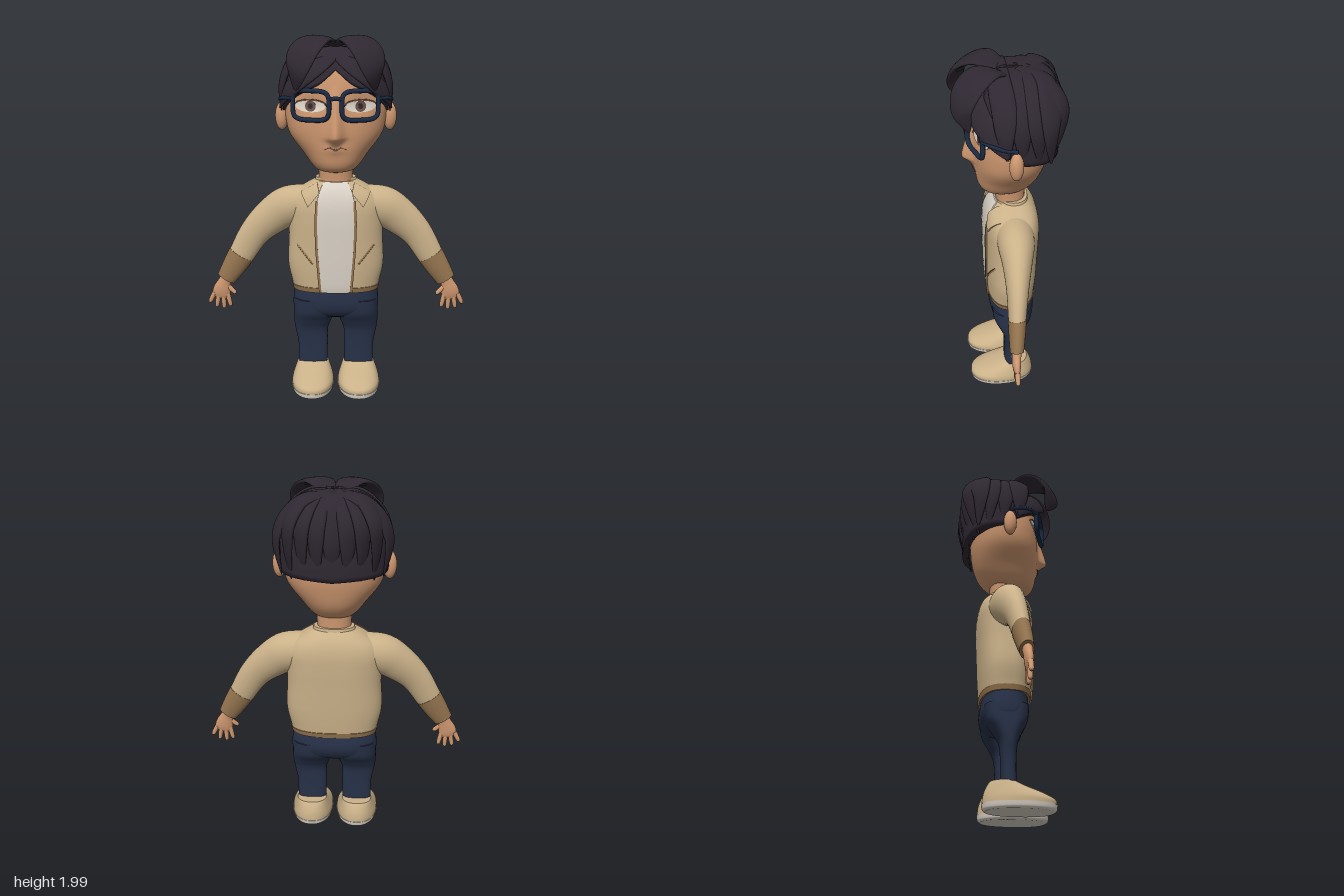
import * as THREE from 'three';

const mat = (name, color) => Object.assign(new THREE.MeshStandardMaterial({ color }), { name });
const M = {
  skin: mat('skin', 0xcf9870), hair: mat('dark hair', 0x2f2832), jacket: mat('tan', 0xcab189),
  trim: mat('brown trim', 0x94744f), shirt: mat('off white', 0xd9d1c6), pants: mat('navy cloth', 0x273148),
  frame: mat('blue frame', 0x1b2a44), eye: mat('eye white', 0xe2d8ca), iris: mat('iris brown', 0x6b5146),
};

const V = (x, y, z) => new THREE.Vector3(x, y, z);
const spow = (v, e) => Math.sign(v) * Math.abs(v) ** e;

// Catmull-Rom smoothing of rows of numbers
function smooth(rows, n = 8) {
  const out = [], at = i => rows[Math.max(0, Math.min(rows.length - 1, i))];
  for (let i = 0; i < rows.length - 1; i++) for (let k = 0; k < n; k++) {
    const t = k / n;
    out.push(rows[i].map((_, c) => {
      const a = at(i - 1)[c], b = at(i)[c], d = at(i + 1)[c], e = at(i + 2)[c];
      return b + 0.5 * t * (d - a + t * (2 * a - 5 * b + 4 * d - e + t * (3 * (b - d) + e - a)));
    }));
  }
  out.push(rows[rows.length - 1]);
  return out;
}

// Linear lookup in rows sorted by their first number
function lookup(rows, key) {
  if (key <= rows[0][0]) return rows[0];
  for (let i = 1; i < rows.length; i++) if (key <= rows[i][0]) {
    const a = rows[i - 1], b = rows[i], t = (key - a[0]) / (b[0] - a[0] || 1);
    return a.map((v, c) => v + (b[c] - v) * t);
  }
  return rows[rows.length - 1];
}

// Surface through closed rings, optionally with flat ends
function skinRings(rings, capped = true) {
  if (capped) {
    const end = r => {
      const c = r.reduce((s, p) => s.add(p), V(0, 0, 0)).divideScalar(r.length);
      return r.map(() => c);
    };
    const a = rings[0], b = rings[rings.length - 1];
    rings = [end(a), a, ...rings, b, end(b)];
  }
  const n = rings[0].length, index = [];
  for (let i = 0; i < rings.length - 1; i++) for (let j = 0; j < n; j++) {
    const a = i * n + j, b = i * n + (j + 1) % n;
    index.push(a, a + n, b, b, a + n, b + n);
  }
  const g = new THREE.BufferGeometry().setFromPoints(rings.flat());
  g.setIndex(index);
  g.computeVertexNormals();
  return g;
}

const ring = (n, f) => Array.from({ length: n }, (_, j) => f(Math.cos(j / n * 2 * Math.PI), Math.sin(j / n * 2 * Math.PI)));

// Upright form from rows [y, halfWidth, zFront, zBack, centreX]
function body(rows, p = 2.3, seg = 48, bump = () => 0) {
  return skinRings(smooth(rows).map(([y, w, zf, zb, cx = 0]) => ring(seg, (c, s) => {
    const x = w * spow(c, 2 / p), z = (zf + zb) / 2 + (zf - zb) / 2 * spow(s, 2 / p);
    return V(cx + x, y, z + (s > 0 ? bump(x, y) : 0));
  })));
}

// Front surface height of such a form
function frontZ(rows, p, bump = () => 0) {
  const dense = smooth(rows);
  return (x, y) => {
    const [, w, zf, zb] = lookup(dense, y);
    return (zf + zb) / 2 + (zf - zb) / 2 * Math.max(0, 1 - Math.abs(x / w) ** p) ** (1 / p) + bump(x, y);
  };
}

// Limb from rows [x, y, z, halfWidth, halfDepth]
function limb(rows, s = 1, seg = 24) {
  const r = smooth(rows.map(q => [q[0] * s, ...q.slice(1)]), 6);
  return skinRings(r.map(([x, y, z, a, b], i) => {
    const q = r[Math.max(0, i - 1)], t = r[Math.min(r.length - 1, i + 1)];
    const d = V(t[0] - q[0], t[1] - q[1], 0).normalize();
    return ring(seg, (c, k) => V(x + d.y * a * c, y - d.x * a * c, z + b * k));
  }));
}

// Thin plate following a front surface; map(u, v) gives x and y
function plate(zAt, map, off, thick, s = 1, nu = 24, nv = 12) {
  const g = new THREE.BoxGeometry(1, 1, 1, nu, nv, 1), p = g.attributes.position;
  for (let i = 0; i < p.count; i++) {
    const [x, y] = map(s * p.getX(i), p.getY(i));
    p.setXYZ(i, s * x, y, zAt(s * x, y) + off + thick * (p.getZ(i) + 0.5));
  }
  g.computeVertexNormals();
  return g;
}
const disc = (cx, cy, a, h) => (u, v) => [cx + 2 * u * a, cy + 2 * v * h * Math.sqrt(Math.max(0, 1 - 4 * u * u))];

// Leaf-shaped lock of hair lying around the head
function lock(points, width, thick, s = 1) {
  const curve = new THREE.CatmullRomCurve3(points.map(q => V(q[0] * s, q[1], q[2]))), n = 28;
  return skinRings(Array.from({ length: n + 1 }, (_, i) => {
    const t = i / n, P = curve.getPoint(t), T = curve.getTangent(t);
    const N = P.clone().sub(V(0, 1.65, -0.03));
    N.addScaledVector(T, -N.dot(T)).normalize();
    const B = T.clone().cross(N), k = Math.sin(Math.PI * (0.12 + 0.87 * t)) ** 0.7;
    return ring(16, (c, q) => P.clone().addScaledVector(B, c * k * width).addScaledVector(N, q * k * thick));
  }));
}

const HEAD = [[1.272, .05, .09, -.04], [1.287, .1, .137, -.08], [1.32, .135, .163, -.125], [1.38, .178, .176, -.165],
  [1.47, .245, .183, -.19], [1.55, .268, .185, -.2], [1.65, .27, .183, -.205], [1.78, .25, .165, -.2],
  [1.88, .19, .12, -.16], [1.94, .09, .05, -.09]];
const NOSE = [[1.425, 0], [1.45, .03], [1.472, .062], [1.5, .058], [1.6, .03], [1.69, .012], [1.74, 0]];
const faceBump = (x, y) => {
  const h = lookup(NOSE, y)[1];
  return (y > 1.425 && y < 1.74 ? h * Math.exp(-((x / (0.02 + 0.3 * h)) ** 2)) : 0)
    - 0.014 * Math.exp(-(((Math.abs(x) - 0.125) / 0.07) ** 2) - ((y - 1.64) / 0.045) ** 2)
    + 0.009 * Math.exp(-((x / 0.05) ** 2) - ((y - 1.412) / 0.025) ** 2);
};
const TORSO = [[.6, .238, .125, -.135], [.64, .247, .13, -.14], [.75, .268, .134, -.148], [.9, .262, .135, -.155],
  [1, .262, .135, -.16], [1.08, .262, .13, -.16], [1.14, .235, .117, -.15], [1.185, .175, .097, -.13], [1.218, .115, .07, -.1]];
const OPENING = [[.6, .085], [.85, .104], [1, .108], [1.12, .102], [1.18, .085], [1.215, .065]];
const HAIRLINE = [[0, 1.82], [.12, 1.75], [.28, 1.69], [.42, 1.61], [.52, 1.56], [1, 1.53]];

// Hair cap with a hairline that drops from brow to nape
function hairCap() {
  const n = 26, [a, b, c, p] = [.285, .335, .22, 2.5], rings = [];
  for (let i = -1; i <= n; i++) rings.push(ring(96, (cx, sz) => {
    const low = lookup(HAIRLINE, Math.acos(Math.max(-1, Math.min(1, sz))) / Math.PI)[1] - 1.62;
    const y = low + (b - low) * Math.sin(Math.max(0, i) / n * Math.PI / 2);
    const r = (Math.max(0, 1 - Math.abs(y / b) ** p) / (Math.abs(cx / a) ** p + Math.abs(sz / c) ** p)) ** (1 / p);
    const k = i < 0 ? 0.82 : 1;
    return V(cx * r * k, 1.62 + y, sz * r * k - 0.03);
  }));
  return skinRings(rings, false);
}

export function createModel() {
  const root = new THREE.Group();
  const add = (name, geo, m) => {
    const mesh = new THREE.Mesh(geo, m);
    mesh.name = name;
    root.add(mesh);
    return mesh;
  };
  const tube = (pts, r, closed = false) => new THREE.TubeGeometry(new THREE.CatmullRomCurve3(pts, closed), closed ? 72 : 20, r, 10, closed);
  const faceZ = frontZ(HEAD, 2.2, faceBump), torsoZ = frontZ(TORSO, 2.6);

  // Head, neck and mouth
  add('head', body(HEAD, 2.2, 144, faceBump), M.skin);
  add('neck', body([[1.15, .095, .07, -.085], [1.23, .092, .07, -.085], [1.33, .1, .08, -.09]]), M.skin);
  add('mouth', plate(faceZ, (u, v) => [u * .12, 1.417 - .006 * Math.cos(u * 12) + v * .011 * (1.1 - 2 * Math.abs(u))], 0, .004), M.iris);

  // Jacket body, shirt front and collar
  add('jacketBody', body(TORSO, 2.6, 64), M.jacket);
  add('jacketHem', body([[.597, .241, .128, -.138], [.626, .248, .133, -.143]], 2.6, 64), M.trim);
  add('shirtFront', plate(torsoZ, (u, v) => {
    const y = .91 + v * .615;
    return [2 * u * lookup(OPENING, y)[1], y];
  }, .002, .007, 1, 12, 40), M.shirt);
  add('collarBand', body([[1.18, .125, .055, -.11], [1.232, .11, .05, -.1]]), M.jacket);

  // Hips
  add('hips', body([[.42, .13, .04, -.05], [.44, .2, .08, -.09], [.475, .238, .108, -.12], [.53, .242, .12, -.137], [.61, .233, .115, -.128]], 2.5, 56), M.pants);

  // Hair cap and the lock at the centre of the nape
  add('hairCap', hairCap(), M.hair);
  add('napeLock', lock([[0, 1.95, -.05], [0, 1.92, -.19], [0, 1.75, -.25], [0, 1.53, -.215]], .055, .018), M.hair);

  for (const s of [1, -1]) {
    const side = s > 0 ? 'left' : 'right', put = (name, geo, m) => add(side + name, geo, m);

    // Eye, lid line and ear
    put('Eye', plate(faceZ, disc(.13, 1.637, .08, .031), 0, .005, s), M.eye);
    put('Iris', plate(faceZ, disc(.13, 1.637, .028, .028), .003, .005, s), M.iris);
    put('Pupil', plate(faceZ, disc(.13, 1.637, .013, .014), .006, .005, s), M.hair);
    put('Lid', plate(faceZ, (u, v) => [.13 + u * .17, 1.637 + .032 * Math.sqrt(1 - 4 * u * u) + v * .008], 0, .008, s), M.iris);
    const ear = put('Ear', new THREE.SphereGeometry(1, 24, 18), M.skin);
    ear.scale.set(.036, .075, .036);
    ear.position.set(s * .291, 1.565, -.005);

    // Glasses
    const rim = ring(40, (c, q) => {
      const x = .127 + .094 * spow(c, .5);
      return V(s * x, 1.643 + .075 * spow(q, .5), .214 - (x - .033) * .33);
    });
    put('GlassesRim', tube(rim, .0125, true), M.frame);
    put('GlassesTemple', tube([V(s * .222, 1.675, .152), V(s * .265, 1.675, .115), V(s * .292, 1.665, .06), V(s * .295, 1.65, -.01)], .01), M.frame);

    // Front opening trim, lapel and pocket
    put('FrontTrim', plate(torsoZ, (u, v) => {
      const y = .86 + v * .52;
      return [lookup(OPENING, y)[1] + u * .014, y];
    }, .002, .009, s, 2, 30), M.trim);
    put('Lapel', plate(torsoZ, (u, v) => {
      const a = u + .5, b = v + .5, mix = i => (1 - b) * ((1 - a) * [.088, 1.165][i] + a * [.15, 1.09][i])
        + b * ((1 - a) * [.1, 1.215][i] + a * [.19, 1.165][i]);
      return [mix(0), mix(1)];
    }, .008, .01, s, 8, 8), M.jacket);
    put('Pocket', plate(torsoZ, (u, v) => [.168 + u * .085 + v * .007, .822 + u * .105 - v * .007], 0, .005, s, 12, 1), M.trim);

    // Sleeve and cuff
    put('Sleeve', limb([[.1, 1.1, -.015, .085, .1], [.25, 1.067, -.012, .113, .098], [.35, 1.01, -.006, .104, .078],
      [.45, .918, .006, .085, .058], [.53, .79, .018, .072, .046], [.56, .742, .022, .064, .042]], s, 32), M.jacket);
    put('Cuff', limb([[.531, .79, .018, .074, .048], [.575, .72, .024, .066, .043], [.62, .65, .03, .054, .036]], s, 32), M.trim);

    // Hand with four fingers and a thumb
    put('Palm', limb([[.607, .68, .03, .035, .028], [.628, .635, .033, .036, .024], [.642, .595, .035, .048, .023],
      [.652, .56, .035, .05, .019], [.659, .537, .035, .038, .012]], s), M.skin);
    const fingers = [[.615, .56, .599, .483], [.64, .55, .637, .47], [.666, .55, .68, .478], [.688, .566, .719, .505], [.615, .61, .566, .565]];
    fingers.forEach(([x0, y0, x1, y1], i) => {
      const at = (t, r) => [x0 + (x1 - x0) * t, y0 + (y1 - y0) * t, .035 + (i === 4 ? .012 * t : 0), r, r];
      put(i === 4 ? 'Thumb' : 'Finger' + (i + 1), limb([at(0, .014), at(.5, .0135), at(.88, .011), at(1, .004)], s, 14), M.skin);
    });

    // Leg and shoe
    put('Leg', body([[.125, .083, .04, -.036], [.25, .085, .04, -.037], [.34, .094, .047, -.044], [.4, .108, .07, -.072],
      [.46, .118, .1, -.11], [.54, .115, .11, -.125]].map((r, i) => [...r, s * [.132, .132, .139, .132, .122, .12][i]]), 2.6), M.pants);
    const foot = rows => body(rows.map(r => [...r, s * .132]), 2.2);
    put('Sole', foot([[0, .105, .228, -.115], [.01, .117, .242, -.126], [.034, .122, .246, -.131]]), M.shirt);
    put('Shoe', foot([[.034, .12, .243, -.129], [.06, .118, .236, -.127], [.088, .108, .185, -.121], [.12, .094, .1, -.108], [.141, .085, .05, -.095]]), M.jacket);

    // Big parted fringe and the lower fringe framing the brow
    put('Fringe', lock([[.02, 1.93, .02], [.09, 1.975, .12], [.155, 1.925, .21], [.19, 1.83, .248], [.205, 1.725, .215]], .1, .02, s), M.hair);
    put('BrowLock', lock([[.01, 1.89, .1], [.09, 1.84, .172], [.19, 1.765, .15], [.265, 1.69, .09], [.297, 1.615, .04]], .062, .018, s), M.hair);

    // Side locks sweeping from the parting
    [.06, -.02, -.1, -.16].forEach((z, i) => put('SideLock' + (i + 1), lock([[.01, 1.95, z * .6], [.13, 1.935, z],
      [.235, 1.85, z - .01], [.283, 1.74, z - .01], [.288 - i * .01, 1.6 - i * .015, z - .02]], .062, .02, s), M.hair));

    // Back locks
    [.075, .145, .21].forEach((x, i) => put('BackLock' + (i + 1), lock([[.02, 1.955, -.04], [x * .7, 1.925, -.17],
      [x, 1.83, -.24 + i * .006], [x * 1.05, 1.7, -.248 + i * .015], [x, 1.53, -.212 + i * .02]], .05, .02, s), M.hair));
  }
  add('glassesBridge', tube([V(-.04, 1.675, .212), V(0, 1.682, .222), V(.04, 1.675, .212)], .011), M.frame);
  return root;
}
